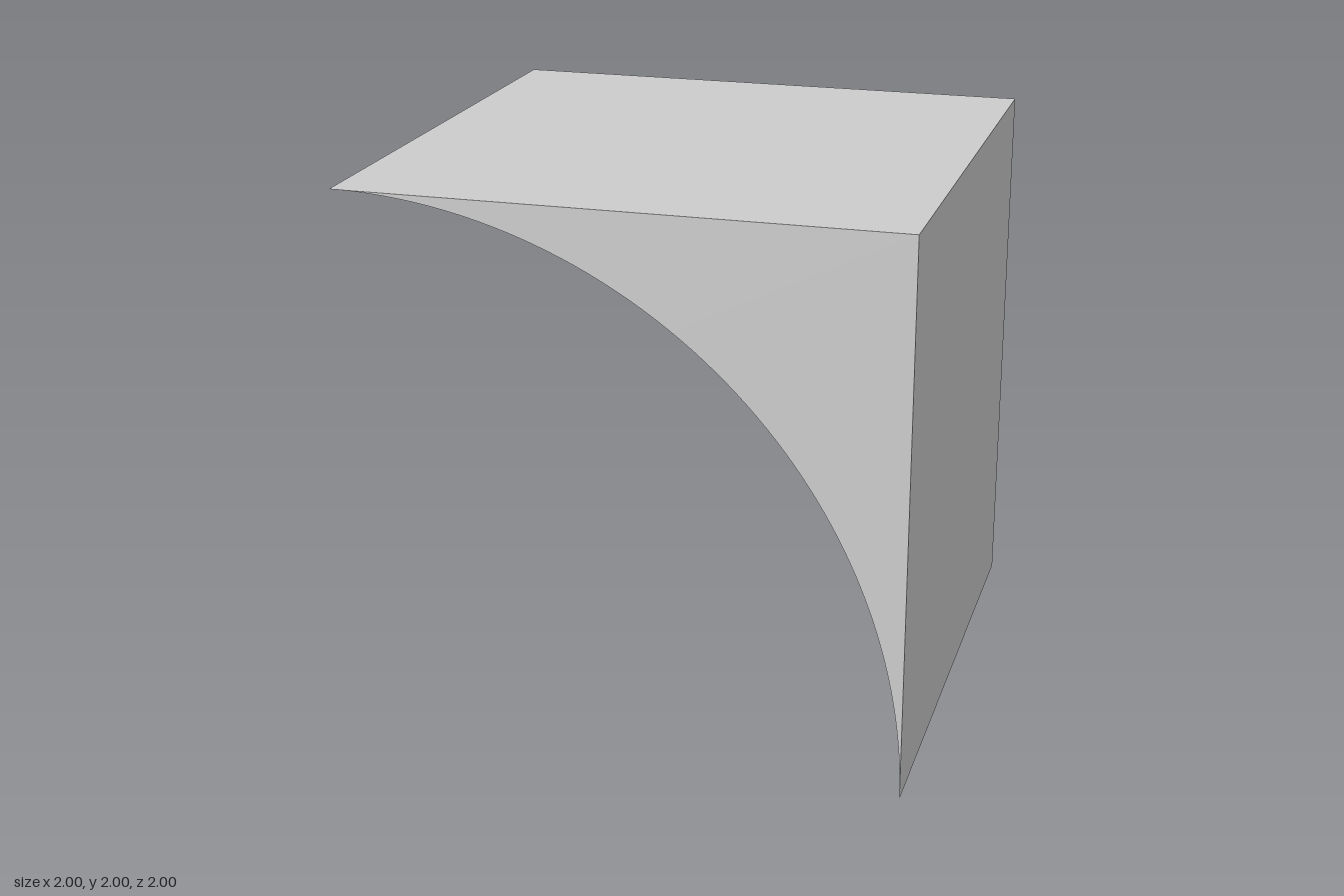
import * as THREE from 'three';
import { toCreasedNormals } from 'three/addons/utils/BufferGeometryUtils.js';

const SIZE = 2;

export function createModel() {
  const group = new THREE.Group();
  group.name = 'quarterArchBlock';

  // Square corner with a quarter circle cut out of its lower inner side
  const profile = new THREE.Shape();
  profile.moveTo(1, 0);
  profile.lineTo(1, SIZE);
  profile.lineTo(-1, SIZE);
  profile.absarc(-1, 0, SIZE, Math.PI / 2, 0, true);

  const extruded = new THREE.ExtrudeGeometry(profile, {
    depth: SIZE,
    bevelEnabled: false,
    curveSegments: 32,
  });
  extruded.translate(0, 0, -SIZE / 2);

  // Smooth arch underside, sharp outer edges
  const block = new THREE.Mesh(
    toCreasedNormals(extruded, Math.PI / 6),
    new THREE.MeshStandardMaterial({ color: 0xcccccc }),
  );
  block.name = 'archBlock';
  group.add(block);

  return group;
}
